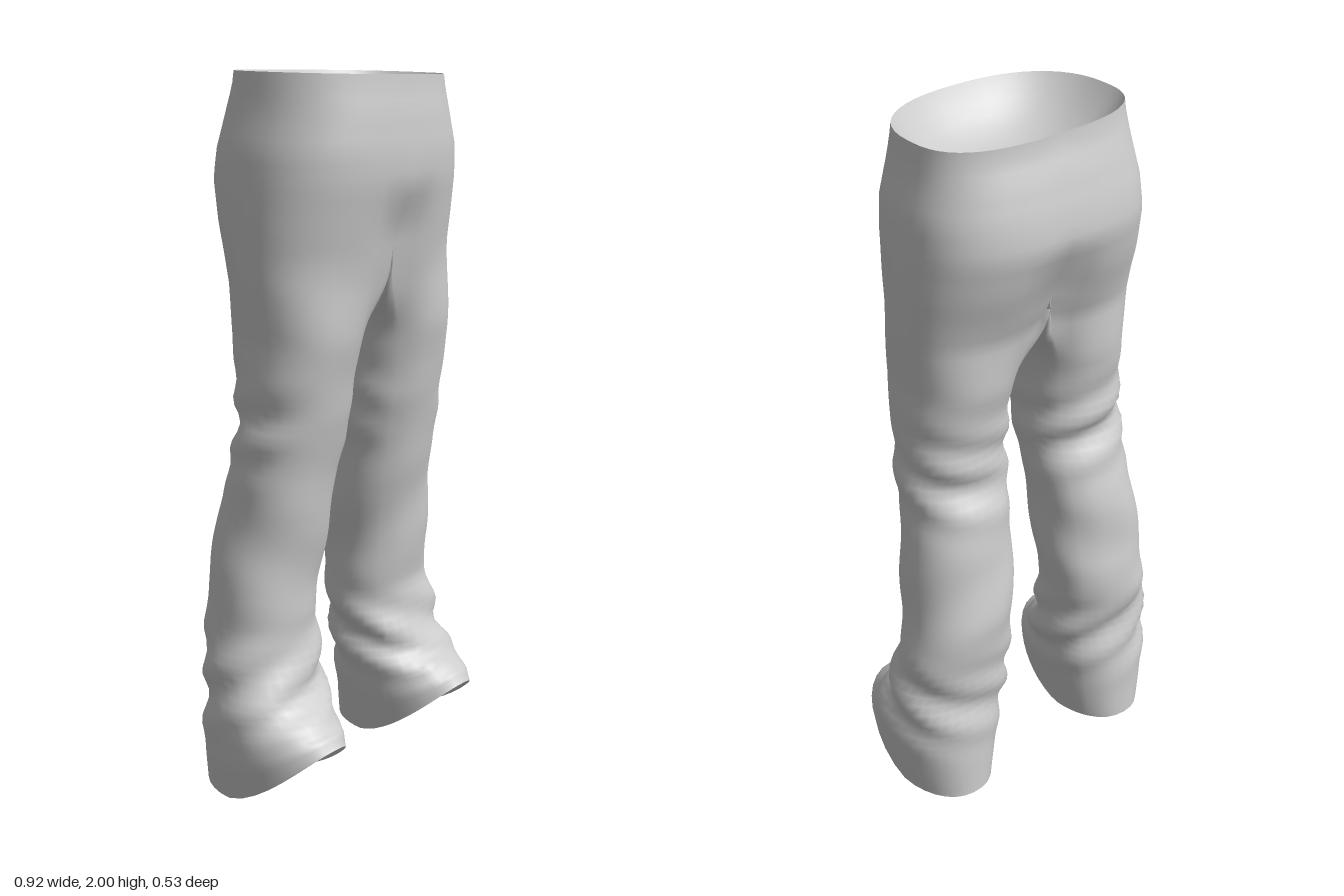
import * as THREE from 'three';
import { mergeGeometries, mergeVertices } from 'three/addons/utils/BufferGeometryUtils.js';

const OUTER = 25, INNER = 13;      // columns around the outside / inside of a leg
const CROTCH = 1.55, WAIST = 1.99;

// height, outer x, inner x, front z, back z
const PROFILE = [
  [2.0, 0.305, 0, 0.24, -0.2], [1.95, 0.312, 0, 0.245, -0.205], [1.9, 0.32, 0, 0.255, -0.225],
  [1.8, 0.345, 0, 0.265, -0.252], [1.72, 0.352, 0, 0.263, -0.264], [1.6, 0.357, 0, 0.242, -0.235],
  [1.45, 0.356, 0.005, 0.215, -0.178], [1.3, 0.345, 0.032, 0.195, -0.165], [1.2, 0.353, 0.045, 0.175, -0.145],
  [1.1, 0.347, 0.05, 0.16, -0.142], [1.03, 0.36, 0.052, 0.145, -0.13], [0.95, 0.36, 0.06, 0.128, -0.162],
  [0.8, 0.378, 0.07, 0.102, -0.19], [0.6, 0.402, 0.085, 0.075, -0.215], [0.48, 0.42, 0.09, 0.065, -0.213],
  [0.38, 0.432, 0.095, 0.088, -0.196], [0.32, 0.44, 0.1, 0.1, -0.192], [0.2, 0.456, 0.113, 0.175, -0.206],
  [0.1, 0.448, 0.13, 0.22, -0.208], [0, 0.43, 0.15, 0.24, -0.212],
];

function profileAt(y) {
  let i = 0;
  while (i < PROFILE.length - 2 && PROFILE[i + 1][0] > y) i++;
  const a = PROFILE[i], b = PROFILE[i + 1];
  const t = THREE.MathUtils.clamp((a[0] - y) / (a[0] - b[0]), 0, 1);
  return a.map((v, k) => v + (b[k] - v) * t);
}

const spow = (v, e) => Math.sign(v) * Math.abs(v) ** e;
const bump = (v, at, width) => Math.exp(-(((v - at) / width) ** 2));

// Half of the hip outline, t from 0 (front centre) to 1 (back centre)
function hipPoint(y, t) {
  const [, xo, , zf, zb] = profileAt(y);
  const c = Math.cos(t * Math.PI), s = Math.max(0, Math.sin(t * Math.PI));
  const e = c > 0 ? 0.86 : 0.74;
  const x = t === 0 || t === 1 ? 0 : xo * s ** e;
  const groove = 1 - THREE.MathUtils.smoothstep(y, CROTCH, 1.74);
  const z = (c > 0 ? zf : -zb) * spow(c, e) * (1 - 0.17 * groove * bump(x, 0, 0.08));
  const tilt = -0.01 * THREE.MathUtils.smoothstep(y, 1.8, WAIST);
  return { x, y, z, tilt };
}

// Closed leg outline; its top ring is the hip outline plus a saddle between the legs
function legPoint(y, j, side) {
  const isOuter = j < OUTER;
  const t = isOuter ? j / (OUTER - 1) : (j - OUTER + 1) / (INNER + 1);
  const deg = isOuter ? -42 + 264 * t : 222 + 96 * t;
  const a = THREE.MathUtils.degToRad(deg);
  const w = 1 - THREE.MathUtils.smoothstep(y, 1.28, CROTCH);

  let top;
  if (isOuter) top = hipPoint(y, t);
  else {
    const front = hipPoint(CROTCH, 0).z, back = hipPoint(CROTCH, 1).z;
    const z = (front + back) / 2 - (front - back) / 2 * Math.cos(t * Math.PI);
    top = { x: 0, y: y - 0.1 * Math.sin(t * Math.PI), z };
  }

  const [, xo, xi, zf, zb] = profileAt(y);
  // Cloth folds at the knee, shin and ankle
  const knee = bump(y, 1.06, 0.13), ankle = bump(y, 0.33, 0.12), shin = bump(y, 0.65, 0.3);
  const fold = 0.013 * knee * Math.sin(y * 48 + a * 2 + side) * (0.5 - 0.5 * Math.cos(a))
    + 0.012 * ankle * Math.sin(y * 42 + a * 3 + side * 1.2)
    + 0.005 * shin * Math.sin(y * 20 - a * 2 + side * 2);
  const k = 1 + fold / 0.15;
  const cx = (xo + xi) / 2, cz = (zf + zb) / 2;
  const lz = cz + (zf - zb) / 2 * spow(Math.cos(a), 0.9) * k;
  const lx = cx + (xo - xi) / 2 * spow(Math.sin(a), 0.9) * k;

  const p = new THREE.Vector3(
    THREE.MathUtils.lerp(top.x, lx, w),
    THREE.MathUtils.lerp(top.y, y, w),
    THREE.MathUtils.lerp(top.z, lz, w));
  // Hem lifted towards the toes
  if (y < 0.32) {
    const hem = 0.19 * THREE.MathUtils.clamp((p.z + 0.06) / 0.3, 0, 1) ** 1.6;
    p.y = hem + y * (0.32 - hem) / 0.32;
  }
  p.x *= side;
  return p;
}

// Skin a stack of rows
function skin(rows, closed, flip) {
  const n = rows[0].length, index = [];
  for (let i = 0; i < rows.length - 1; i++) {
    for (let j = 0; j < (closed ? n : n - 1); j++) {
      const a = i * n + j, b = i * n + (j + 1) % n, c = a + n, d = b + n;
      if (flip) index.push(a, b, c, b, d, c);
      else index.push(a, c, b, b, c, d);
    }
  }
  const g = new THREE.BufferGeometry().setFromPoints(rows.flat());
  g.setIndex(index);
  return g;
}

// Shallow bowl that fills an opening
function bowl(edge, depth, flip) {
  const mid = edge.reduce((s, p) => s.add(p), new THREE.Vector3()).divideScalar(edge.length);
  const rows = [1, 0.985, 0.96, 0.92, 0.85, 0.75, 0.6, 0.4, 0.2, 0.001].map((r) => edge.map((p) => {
    const q = mid.clone().lerp(p, r);
    q.y += depth * (1 - r ** 3);
    return q;
  }));
  const g = skin(rows, true, flip);
  g.computeVertexNormals();
  return g;
}

export function createModel() {
  const group = new THREE.Group();
  const material = new THREE.MeshStandardMaterial({ color: 0xcccccc, side: THREE.DoubleSide });
  const add = (name, geometry) => {
    const mesh = new THREE.Mesh(geometry, material);
    mesh.name = name;
    group.add(mesh);
  };

  const parts = [], waist = {};
  for (const side of [1, -1]) {
    const hips = [], leg = [];
    for (let i = 0; i <= 14; i++) {
      const y = THREE.MathUtils.lerp(WAIST, CROTCH, i / 14);
      hips.push(Array.from({ length: OUTER }, (_, j) => {
        const p = hipPoint(y, j / (OUTER - 1));
        return new THREE.Vector3(p.x * side, p.y + p.tilt * side * p.x / 0.305, p.z);
      }));
    }
    for (let i = 0; i <= 64; i++) {
      const y = CROTCH * (1 - i / 64);
      leg.push(Array.from({ length: OUTER + INNER }, (_, j) => legPoint(y, j, side)));
    }
    parts.push(skin(hips, false, side < 0), skin(leg, true, side < 0));
    waist[side] = hips[0];
    add(side > 0 ? 'leftCuffLining' : 'rightCuffLining', bowl(leg[64], 0.1, side < 0));
  }

  // Hips and both legs as one smooth cloth shell
  const shell = mergeVertices(mergeGeometries(parts), 1e-4);
  shell.computeVertexNormals();
  add('trousers', shell);

  // Inside of the waist opening
  const rim = [...waist[1], ...waist[-1].slice(1, -1).reverse()];
  add('waistLining', bowl(rim, -0.14, true));
  return group;
}
